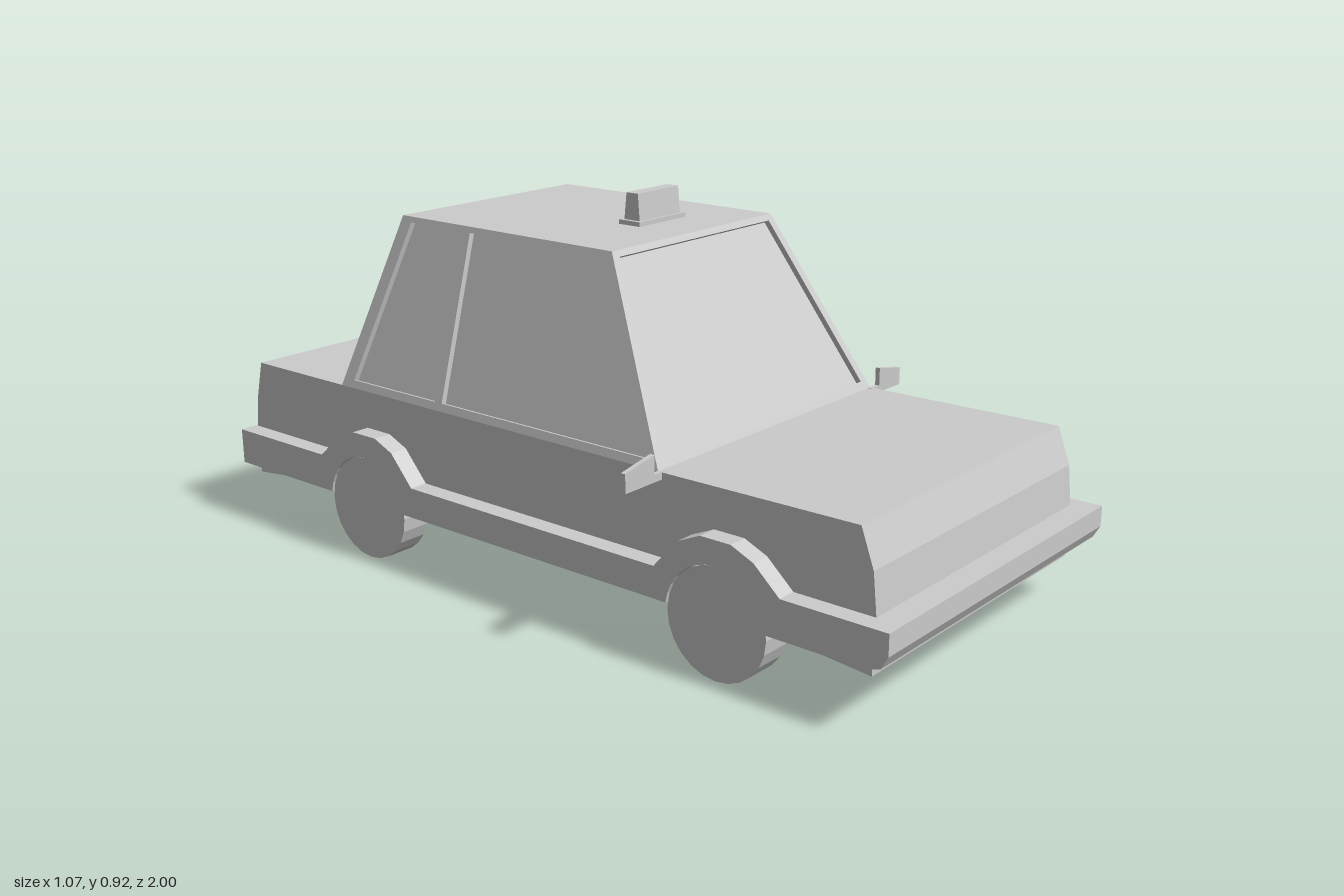
import * as THREE from 'three';

const material = new THREE.MeshStandardMaterial({ color: 0xcccccc, flatShading: true, side: THREE.DoubleSide });

function add(parent, name, geometry) {
  const mesh = new THREE.Mesh(geometry, material);
  mesh.name = name;
  parent.add(mesh);
  return mesh;
}

const polygon = (points) => new THREE.Shape(points.map(([a, b]) => new THREE.Vector2(a, b)));

// Side profile given as [z, y], extruded across the car from x0 to x1
function sideExtrude(profile, x0, x1) {
  const shape = polygon(profile.map(([z, y]) => [-z, y]));
  return new THREE.ExtrudeGeometry(shape, { depth: x1 - x0, bevelEnabled: false })
    .rotateY(Math.PI / 2)
    .translate(x0, 0, 0);
}

// Cabin wall: a flat frame with recessed panes. Corners run counter-clockwise
// from the lower left as seen from outside; windows are lists of 3D points.
function addWall(parent, name, corners, windows) {
  const depth = 0.014;
  const [a, b, , d] = corners;
  const u = b.clone().sub(a).normalize();
  const n = u.clone().cross(d.clone().sub(a)).normalize();
  const v = n.clone().cross(u);
  const flat = (p) => {
    const r = p.clone().sub(a);
    return [r.dot(u), r.dot(v)];
  };
  const frame = polygon(corners.map(flat));
  const holes = windows.map((w) => polygon(w.map(flat)));
  frame.holes.push(...holes);
  const place = new THREE.Matrix4().makeBasis(u, v, n)
    .setPosition(a.clone().addScaledVector(n, -depth));
  add(parent, name + 'Frame',
    new THREE.ExtrudeGeometry(frame, { depth, bevelEnabled: false }).applyMatrix4(place));
  holes.forEach((h) => add(parent, name + 'Glass', new THREE.ShapeGeometry(h).applyMatrix4(place)));
}

export function createModel() {
  const car = new THREE.Group();
  car.name = 'car';
  const wheelZ = [0.577, -0.51];
  const wheelR = 0.13;
  const halfW = 0.415;

  // Main body with sloped nose and tail
  add(car, 'body', sideExtrude([
    [0.94, 0.146], [0.94, 0.235], [0.93, 0.33], [0.898, 0.418], [0.385, 0.414],
    [-0.64, 0.414], [-0.963, 0.414], [-0.985, 0.32], [-0.995, 0.235], [-0.995, 0.146],
  ], -halfW, halfW));

  // Bumper band with raised wheel arches and round wheel openings
  const archTop = (c, front, rear) => [
    [c + 0.165, front], [c + 0.098, 0.295], [c + 0.04, 0.32],
    [c - 0.04, 0.32], [c - 0.1, 0.293], [c - 0.165, rear],
  ];
  const opening = (c) => {
    const points = [];
    for (let i = 0; i <= 16; i++) {
      const t = 0.114 + (i / 16) * (Math.PI - 0.228);
      points.push([c - 0.132 * Math.cos(t), wheelR + 0.132 * Math.sin(t)]);
    }
    return points;
  };
  add(car, 'bumperBand', sideExtrude([
    [1, 0.235], ...archTop(wheelZ[0], 0.235, 0.22), ...archTop(wheelZ[1], 0.22, 0.235),
    [-1, 0.235], [-0.998, 0.145],
    ...opening(wheelZ[1]), ...opening(wheelZ[0]),
    [0.95, 0.145], [0.983, 0.155], [1, 0.185],
  ], -0.463, 0.455));

  // Sloping skirts below the bumpers
  add(car, 'frontSkirt', sideExtrude([[0.935, 0.107], [0.935, 0.15], [0.52, 0.15], [0.52, 0.145]], -halfW, halfW));
  add(car, 'rearSkirt', sideExtrude([[-0.99, 0.107], [-0.99, 0.15], [-0.65, 0.15], [-0.65, 0.145]], -halfW, halfW));

  // Wheels
  for (const z of wheelZ) {
    for (const x of [-0.419, 0.4115]) {
      const wheel = add(car, 'wheel', new THREE.CylinderGeometry(wheelR, wheelR, 0.077, 24).rotateZ(Math.PI / 2));
      wheel.position.set(x, wheelR, z);
    }
  }

  // Cabin: tapered from base to roof
  const cabin = new THREE.Group();
  cabin.name = 'cabin';
  car.add(cabin);
  const y0 = 0.414, y1 = 0.842, topW = 0.297;
  const halfAt = (y) => halfW + (topW - halfW) * (y - y0) / (y1 - y0);
  const frontAt = (y) => 0.385 + (0.155 - 0.385) * (y - y0) / (y1 - y0);
  const rearAt = (y) => -0.64 + (-0.52 + 0.64) * (y - y0) / (y1 - y0);
  const low = 0.433, high = 0.828, margin = 0.022;

  // Windscreen and rear window
  const endQuad = (zAt, s, ya, yb, m) => [[-1, ya], [1, ya], [1, yb], [-1, yb]]
    .map(([k, y]) => new THREE.Vector3(s * k * (halfAt(y) - m), y, zAt(y)));
  addWall(cabin, 'windscreen', endQuad(frontAt, 1, y0, y1, 0), [endQuad(frontAt, 1, low, high, margin)]);
  addWall(cabin, 'rearWindow', endQuad(rearAt, -1, y0, y1, 0), [endQuad(rearAt, -1, low, high, margin)]);

  // Side walls, each with a front and a rear window
  for (const s of [1, -1]) {
    const quad = (fAt, rAt, ya, yb) => {
      const q = [[fAt, ya], [rAt, ya], [rAt, yb], [fAt, yb]]
        .map(([zAt, y]) => new THREE.Vector3(s * halfAt(y), y, zAt(y)));
      return s > 0 ? q : [q[1], q[0], q[3], q[2]];
    };
    addWall(cabin, s > 0 ? 'leftSide' : 'rightSide', quad(frontAt, rearAt, y0, y1), [
      quad((y) => frontAt(y) - 0.03, () => -0.285, low, high),
      quad(() => -0.308, (y) => rearAt(y) + 0.036, low, high),
    ]);
  }

  // Roof
  const roof = add(cabin, 'roof', new THREE.BoxGeometry(topW * 2, 0.012, 0.675));
  roof.position.set(0, y1 - 0.006, -0.1825);

  // Door mirrors
  for (const s of [1, -1]) {
    const shape = polygon([
      [0.405, 0.398], [0.535, 0.398], [0.535, 0.442], [0.44, 0.46], [0.44, 0.415], [0.405, 0.415],
    ].map(([x, y]) => [s * x, y]));
    add(car, s > 0 ? 'leftMirror' : 'rightMirror',
      new THREE.ExtrudeGeometry(shape, { depth: 0.012, bevelEnabled: false }).translate(0, 0, 0.384));
  }

  // Roof sign on a thin plate
  const plate = add(car, 'signPlate', new THREE.BoxGeometry(0.173, 0.012, 0.064));
  plate.position.set(0.043, 0.847, -0.011);
  add(car, 'roofSign', sideExtrude(
    [[0.013, 0.85], [0.007, 0.918], [-0.028, 0.918], [-0.035, 0.85]], -0.033, 0.118));

  return car;
}
